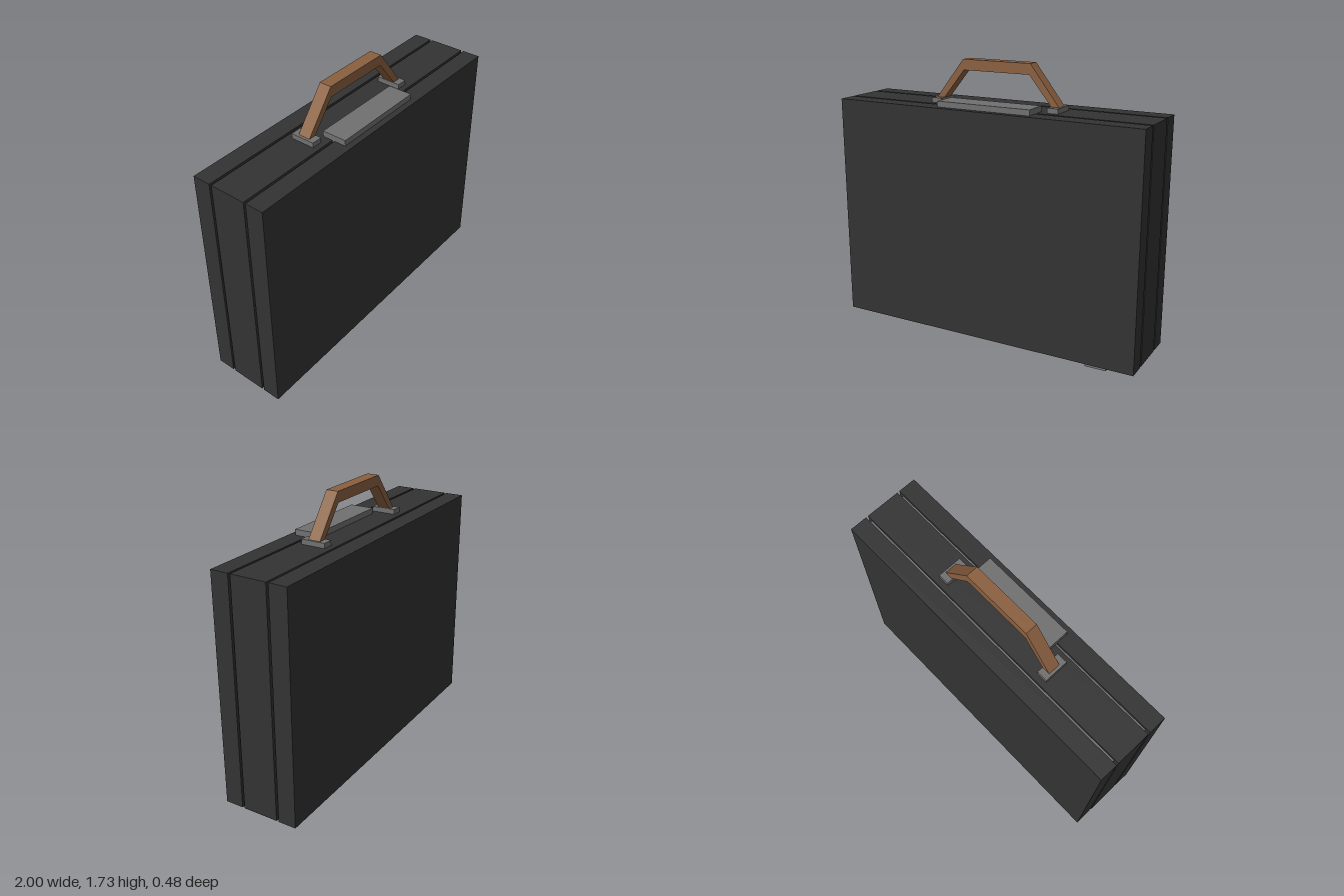
import * as THREE from 'three';

const leather = new THREE.MeshStandardMaterial({ color: 0x333333, flatShading: true });
const metal = new THREE.MeshStandardMaterial({ color: 0x707070, flatShading: true });
const tan = new THREE.MeshStandardMaterial({ color: 0x8a6040, flatShading: true });

// Box given by its limits on each axis
function block(name, material, [x0, x1], [y0, y1], [z0, z1]) {
  const mesh = new THREE.Mesh(new THREE.BoxGeometry(x1 - x0, y1 - y0, z1 - z0), material);
  mesh.position.set((x0 + x1) / 2, (y0 + y1) / 2, (z0 + z1) / 2);
  mesh.name = name;
  return mesh;
}

// Angular handle: tapered legs rising to a straight grip
function makeHandle() {
  const half = [[0.415, 1.485], [0.225, 1.73]];
  const inner = [[0.22, 1.665], [0.365, 1.485]];
  const right = [...inner].reverse().concat(); // foot to grip, inner side
  const outline = [
    ...half,
    ...[...half].reverse().map(([x, y]) => [-x, y]),
    ...right.map(([x, y]) => [-x, y]),
    ...inner,
  ];
  const shape = new THREE.Shape(outline.map(([x, y]) => new THREE.Vector2(x, y)));
  const geometry = new THREE.ExtrudeGeometry(shape, { depth: 0.076, bevelEnabled: false });
  geometry.translate(0, 0, -0.038);
  const mesh = new THREE.Mesh(geometry, tan);
  mesh.name = 'handle';
  return mesh;
}

export function createModel() {
  const group = new THREE.Group();
  group.name = 'briefcase';

  // Case: three slabs around a slightly smaller core that shows in the seams
  const width = [-1, 1], height = [0.04, 1.46];
  group.add(
    block('frontShell', leather, width, height, [0.127, 0.24]),
    block('middleShell', leather, width, height, [-0.112, 0.112]),
    block('backShell', leather, width, height, [-0.24, -0.127]),
    block('seamCore', metal, [-0.97, 0.97], [0.06, 1.44], [-0.2, 0.2]),
  );

  // Handle with its two mounts, and the latch plate in front of it
  group.add(
    makeHandle(),
    block('leftHandleMount', metal, [0.355, 0.423], [1.45, 1.49], [-0.075, 0.077]),
    block('rightHandleMount', metal, [-0.428, -0.36], [1.45, 1.49], [-0.075, 0.077]),
    block('latchPlate', metal, [-0.308, 0.305], [1.45, 1.495], [0.048, 0.202]),
  );

  // Feet across the underside
  group.add(
    block('leftFoot', metal, [0.68, 0.815], [0, 0.05], [-0.19, 0.19]),
    block('rightFoot', metal, [-0.82, -0.685], [0.013, 0.05], [-0.19, 0.19]),
  );
  return group;
}
